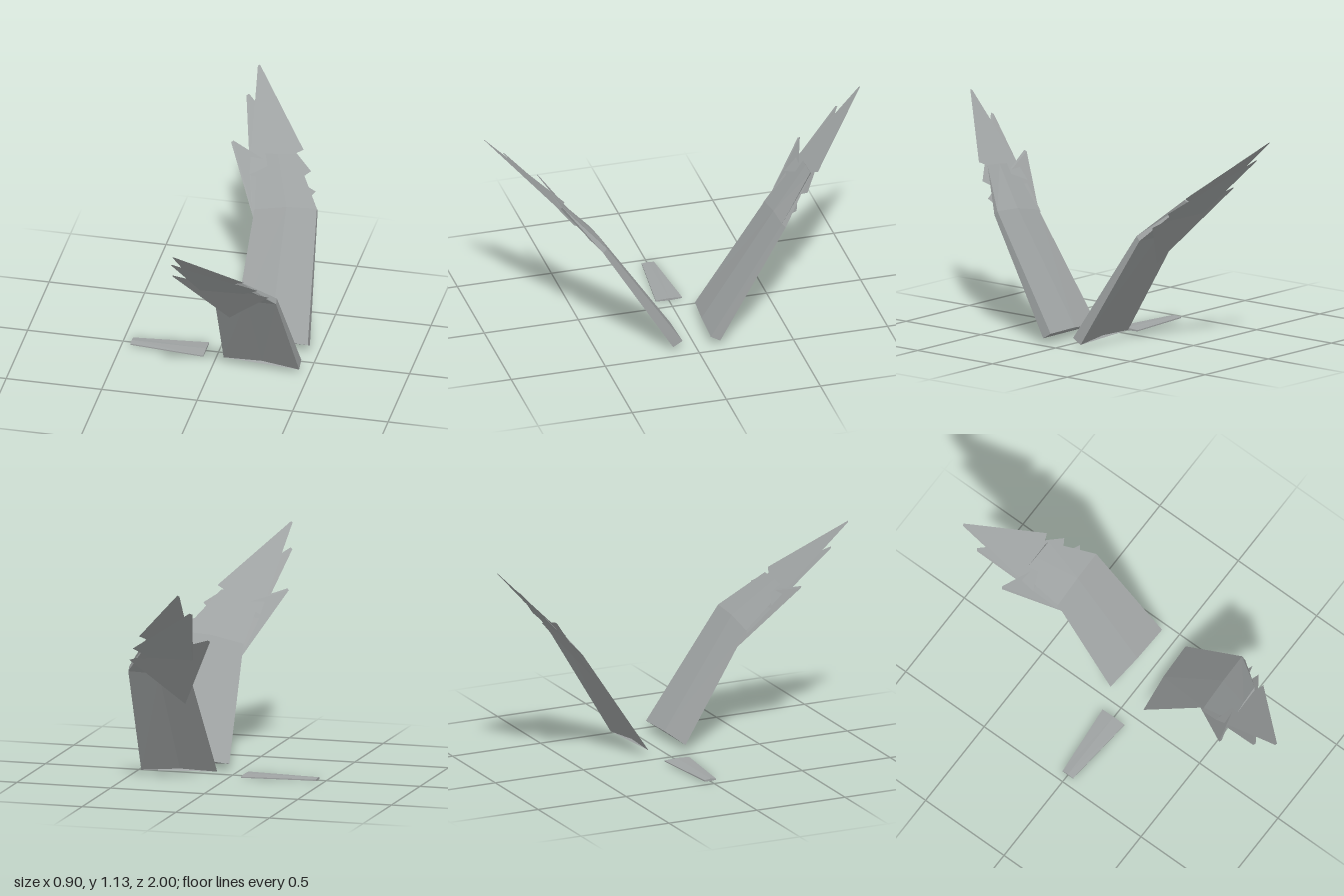
import * as THREE from 'three';

const grey = new THREE.MeshStandardMaterial({ color: 0x9fa3a3 });
grey.name = 'grey';
const featherGrey = new THREE.MeshStandardMaterial({ color: 0x9fa3a3, side: THREE.DoubleSide });
featherGrey.name = 'feather grey';

// Faceted mesh from a list of triangles (three points each)
function facets(name, points, material) {
  const geo = new THREE.BufferGeometry();
  geo.setAttribute('position', new THREE.Float32BufferAttribute(points.flat(), 3));
  geo.computeVertexNormals();
  const mesh = new THREE.Mesh(geo, material);
  mesh.name = name;
  return mesh;
}

// Closed skin through rings of equal length, capped at both ends
function loft(name, rings) {
  const pts = [];
  const n = rings[0].length;
  for (let i = 0; i < rings.length - 1; i++) {
    for (let j = 0; j < n; j++) {
      const k = (j + 1) % n;
      const a = rings[i][j], b = rings[i][k], c = rings[i + 1][k], d = rings[i + 1][j];
      pts.push(a, b, c, a, c, d);
    }
  }
  const first = rings[0], last = rings[rings.length - 1];
  // Caps fan out from the thin trailing point
  const t = 2;
  for (let s = 1; s < n - 1; s++) {
    const j = (t + s) % n, k = (t + s + 1) % n;
    pts.push(first[t], first[k], first[j], last[t], last[j], last[k]);
  }
  return facets(name, pts, grey);
}

// Wing sections: leading top, middle top, trailing edge, middle bottom, leading bottom
const wingSections = [
  [[0.45, 0.055, 0.075], [0.25, 0.055, 0.083], [0.05, 0.035, 0.105], [0.25, 0.04, 0.105], [0.45, 0.025, 0.125]],
  [[0.41, 0.635, 0.465], [0.25, 0.625, 0.465], [0.083, 0.59, 0.465], [0.25, 0.605, 0.475], [0.41, 0.612, 0.485]],
  [[0.26, 0.825, 0.658], [0.16, 0.815, 0.662], [0.05, 0.8, 0.67], [0.16, 0.808, 0.668], [0.245, 0.812, 0.666]],
];

// Feathers: leading corner, two points of the blunt tip, trailing corner
const feathers = {
  outerFeather: [[0.29, 0.84, 0.69], [-0.008, 1.13, 1.0], [-0.018, 1.125, 0.995], [0.03, 0.72, 0.583]],
  middleFeather: [[0.345, 0.76, 0.62], [-0.04, 1.017, 0.888], [-0.052, 1.01, 0.88], [0.07, 0.575, 0.46]],
  innerFeather: [[0.385, 0.685, 0.55], [-0.08, 0.842, 0.7], [-0.09, 0.835, 0.692], [0.14, 0.435, 0.372]],
};

function wing(name, side) {
  const group = new THREE.Group();
  group.name = name;
  const flip = (ring) => {
    const r = ring.map(([x, y, z]) => [x, y, z * side]);
    return side > 0 ? r : r.reverse();
  };
  group.add(loft('wingPanel', wingSections.map(flip)));
  for (const [label, outline] of Object.entries(feathers)) {
    const [a, b, c, d] = flip(outline);
    group.add(facets(label, [a, b, c, a, c, d], featherGrey));
  }
  return group;
}

// Flat tail section: a low ridge with thin edges
const tailRing = (x, w) => [
  [x, 0.009, -w], [x, 0.013, 0], [x, 0.009, w],
  [x, 0.003, w], [x, 0, 0], [x, 0.003, -w],
];

export function createModel() {
  const model = new THREE.Group();
  model.name = 'wingsAndTail';
  model.add(wing('frontWing', 1), wing('backWing', -1));
  model.add(loft('tail', [tailRing(-0.455, 0.033), tailRing(-0.065, 0.07)]));
  return model;
}
